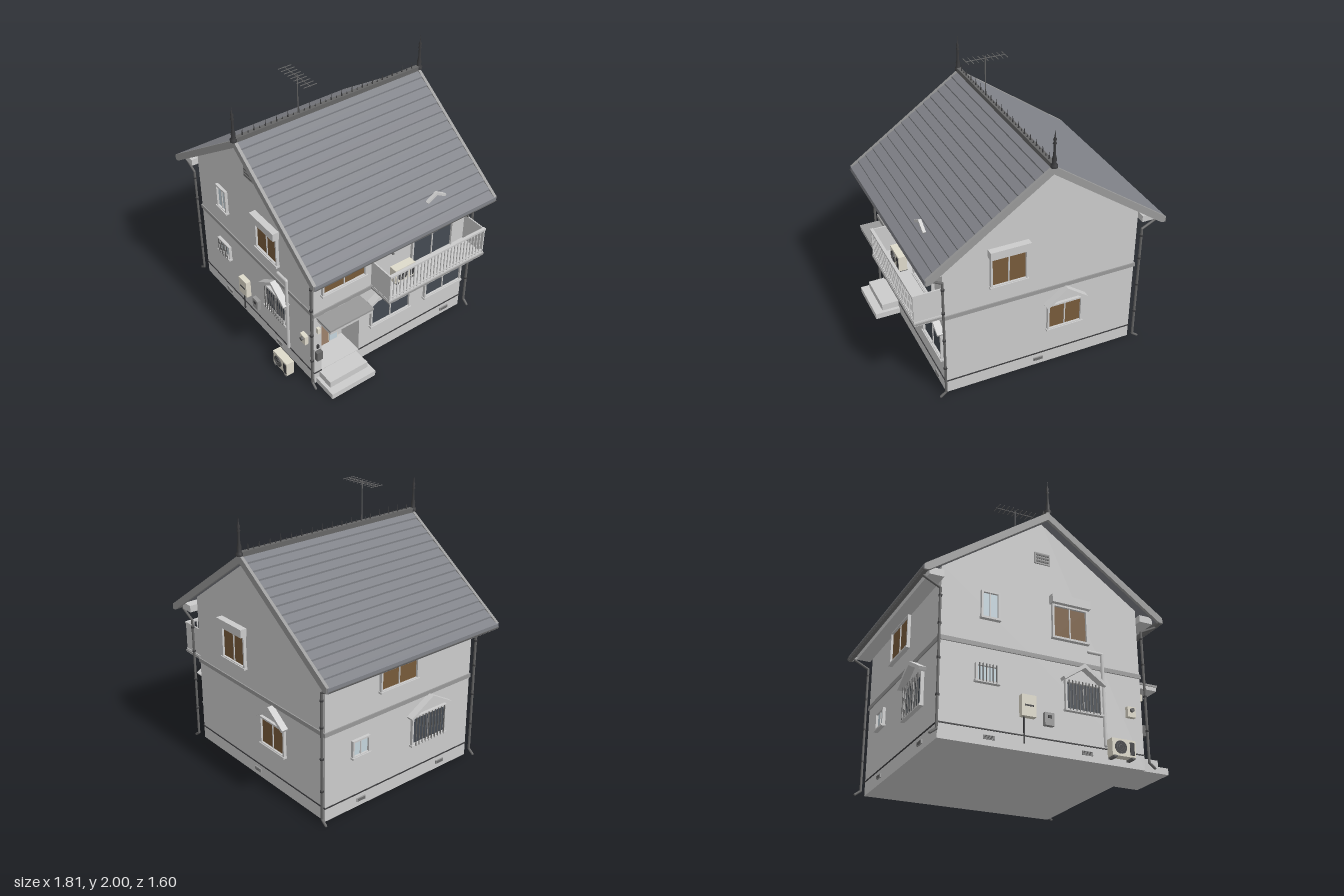
import * as THREE from 'three';

const mat = (color, side = THREE.FrontSide) => new THREE.MeshStandardMaterial({ color, side });
const M = {
  wall: mat(0xcccccc), grey: mat(0x999999), roof: mat(0x808288), dark: mat(0x3c3c3e), metal: mat(0x666666),
  curtain: mat(0x775a3a), glass: mat(0x444a52), pale: mat(0xc4d4dc), cream: mat(0xdedacb),
  door: mat(0x9c816b), gutter: mat(0x707070, THREE.DoubleSide),
};
const RX = -0.02, SLOPE = 0.7, HALF = 0.875;        // ridge x, pitch, half roof width
const roofY = x => 1.69 - SLOPE * Math.abs(x - RX);

function add(parent, name, geo, m, x = 0, y = 0, z = 0) {
  const mesh = new THREE.Mesh(geo, m);
  mesh.name = name;
  mesh.position.set(x, y, z);
  parent.add(mesh);
  return mesh;
}
// box given by its minimum and maximum corners
const box = (p, name, m, x0, x1, y0, y1, z0, z1) =>
  add(p, name, new THREE.BoxGeometry(x1 - x0, y1 - y0, z1 - z0), m, (x0 + x1) / 2, (y0 + y1) / 2, (z0 + z1) / 2);
const poly = pts => new THREE.Shape(pts.map(([x, y]) => new THREE.Vector2(x, y)));
const extrude = (p, name, m, shape, z0, z1) =>
  add(p, name, new THREE.ExtrudeGeometry(shape, { depth: z1 - z0, bevelEnabled: false }), m, 0, 0, z0);
function pipe(p, name, m, pts, r, sides = 8) {
  const path = new THREE.CurvePath();
  const v = pts.map(a => new THREE.Vector3(...a));
  for (let i = 1; i < v.length; i++) path.add(new THREE.LineCurve3(v[i - 1], v[i]));
  path.curves.forEach(c => add(p, name, new THREE.TubeGeometry(c, 1, r, sides, false), m));
  v.forEach(q => add(p, name + 'Joint', new THREE.SphereGeometry(r, sides, 6), m, q.x, q.y, q.z));
}
function group(parent, name, x = 0, y = 0, z = 0, ry = 0) {
  const g = new THREE.Group();
  g.name = name;
  g.position.set(x, y, z);
  g.rotation.y = ry;
  parent.add(g);
  return g;
}

// chevron hood over a window
function hood(p, u, y, half, rise, depth, t = 0.03) {
  extrude(p, 'windowHood', M.wall, poly([[u - half, y], [u, y + rise], [u + half, y],
    [u + half - 0.01, y - t * 0.6], [u, y + rise - t], [u - half + 0.01, y - t * 0.6]]), 0, depth);
}
// framed window on a wall group; local z points outwards
function addWindow(wall, u0, u1, y0, y1, glass, { bars = 0, shutter = false, hooded = false } = {}) {
  const g = group(wall, 'window'), t = 0.013, u = (u0 + u1) / 2;
  const s = poly([[u0, y0], [u1, y0], [u1, y1], [u0, y1]]);
  s.holes.push(poly([[u0 + t, y0 + t], [u0 + t, y1 - t], [u1 - t, y1 - t], [u1 - t, y0 + t]]));
  extrude(g, 'windowFrame', M.wall, s, 0, 0.022);
  box(g, 'windowGlass', glass, u0 + t, u1 - t, y0 + t, y1 - t, 0, 0.006);
  box(g, 'windowMullion', M.wall, u - 0.004, u + 0.004, y0 + t, y1 - t, 0, 0.013);
  box(g, 'windowSill', M.wall, u0 - 0.006, u1 + 0.006, y0 - 0.006, y0 + 0.008, 0, 0.03);
  for (let i = 1; i <= bars; i++) {
    const b = u0 + (u1 - u0) * i / (bars + 1);
    box(g, 'windowBar', M.metal, b - 0.003, b + 0.003, y0, y1, 0.026, 0.032);
  }
  if (shutter) box(g, 'shutterBox', M.wall, u0 - 0.012, u1 + 0.01, y1, y1 + 0.06, 0, 0.05);
  if (hooded) hood(g, u, 0.53, 0.16 + (u1 - u0 > 0.3 ? 0.042 : 0), 0.115, 0.05);
}
function vent(wall, u, y, w, h) {
  box(wall, 'ventPlate', M.grey, u - w / 2, u + w / 2, y - h / 2, y + h / 2, 0, 0.008);
  for (let i = 0; i < 3; i++) {
    const v = y + (i - 1) * h * 0.28;
    box(wall, 'ventSlat', M.metal, u - w * 0.42, u + w * 0.42, v - h * 0.07, v + h * 0.07, 0, 0.012);
  }
}
// outdoor air conditioner, fan facing local z
function airConditioner(parent, x, y, z, ry) {
  const g = group(parent, 'airConditioner', x, y, z, ry);
  box(g, 'unitCase', M.cream, -0.085, 0.085, 0.012, 0.125, -0.03, 0.03);
  for (const s of [-0.065, 0.065]) box(g, 'unitFoot', M.metal, s - 0.012, s + 0.012, 0, 0.012, -0.035, 0.035);
  add(g, 'fan', new THREE.CylinderGeometry(0.042, 0.042, 0.006, 24).rotateX(Math.PI / 2), M.dark, -0.025, 0.068, 0.031);
  for (const r of [0.015, 0.029, 0.042])
    add(g, 'fanGuard', new THREE.TorusGeometry(r, 0.0018, 5, 24), M.metal, -0.025, 0.068, 0.035);
  box(g, 'unitGrille', M.dark, 0.043, 0.075, 0.025, 0.11, 0.03, 0.033);
}

export function createModel() {
  const house = new THREE.Group();
  house.name = 'house';
  const X0 = -0.74, X1 = 0.70, Z0 = -0.67, Z1 = 0.66, PZ0 = 0.28, PZ1 = 0.60, PX = 0.5;

  // walls, with the entrance recess notched out of the middle slice
  const top = [[X1, roofY(X1) - 0.025], [RX, roofY(RX) - 0.025], [X0, roofY(X0) - 0.025], [X0, 0]];
  const full = poly([[X1, 0], ...top]);
  const notched = poly([[X1, 0], [X1, 0.1], [PX, 0.1], [PX, 0.6], [X1, 0.6], ...top]);
  extrude(house, 'wallsRear', M.wall, full, Z0, PZ0);
  extrude(house, 'wallsEntrance', M.wall, notched, PZ0, PZ1);
  extrude(house, 'wallsFront', M.wall, full, PZ1, Z1);

  // wall frames: local x runs rightwards seen from outside
  const front = group(house, 'frontWall', 0, 0, Z1, 0);
  const right = group(house, 'leftHandWall', X1, 0, 0, Math.PI / 2);
  const back = group(house, 'backWall', 0, 0, Z0, Math.PI);
  const left = group(house, 'rightHandWall', X0, 0, 0, -Math.PI / 2);

  // belt course and drip line
  [[front, X0, X1], [back, -X1, -X0], [left, Z0, Z1], [right, -Z1, -Z0]].forEach(([w, a, b]) => {
    box(w, 'beltCourse', M.grey, a - 0.008, b + 0.008, 0.637, 0.667, 0, 0.008);
    if (w !== right) box(w, 'dripLine', M.dark, a - 0.004, b + 0.004, 0.097, 0.105, 0, 0.005);
  });
  box(right, 'dripLine', M.dark, -PZ0, -Z0 + 0.004, 0.097, 0.105, 0, 0.005);
  box(right, 'dripLine', M.dark, -Z1 - 0.004, -PZ1, 0.097, 0.105, 0, 0.005);

  // windows
  addWindow(front, -0.47, -0.34, 0.84, 1.035, M.pale);
  addWindow(front, 0.04, 0.305, 0.805, 1.05, M.curtain, { shutter: true });
  addWindow(front, -0.505, -0.345, 0.40, 0.52, M.pale, { bars: 6 });
  addWindow(front, 0.12, 0.39, 0.315, 0.52, M.glass, { bars: 10, hooded: true });
  addWindow(right, -0.60, -0.24, 0.805, 1.06, M.curtain);
  addWindow(right, 0.155, 0.525, 0.675, 1.06, M.glass);
  addWindow(right, -0.19, 0.165, 0.28, 0.515, M.glass, { hooded: true });
  addWindow(right, 0.30, 0.65, 0.28, 0.515, M.glass, { hooded: true });
  addWindow(back, -0.37, -0.10, 0.805, 1.05, M.curtain, { shutter: true });
  addWindow(back, 0.06, 0.33, 0.30, 0.515, M.curtain, { hooded: true });
  addWindow(left, -0.21, 0.13, 0.805, 1.05, M.curtain);
  addWindow(left, -0.45, -0.30, 0.40, 0.53, M.pale);
  addWindow(left, 0.09, 0.42, 0.29, 0.515, M.glass, { hooded: true, bars: 10 });

  // vents
  vent(front, -0.022, 1.378, 0.115, 0.085);
  [[front, -0.405], [front, 0.275], [right, 0.52], [back, 0], [left, -0.36], [left, 0.39]]
    .forEach(([w, u]) => vent(w, u, 0.052, 0.075, 0.026));

  // tiled roof: stepped courses on both slopes
  const N = 15, dx = HALF / N, slope = [];
  for (let i = 0; i < N; i++) {
    const a = RX - HALF + i * dx;
    slope.push([a, roofY(a)], [a + dx, roofY(a + dx) - 0.012]);
  }
  const mirror = ([x, y]) => [2 * RX - x, y], eave = [RX - HALF, roofY(RX - HALF) - 0.037];
  extrude(house, 'roof', M.roof,
    poly([...slope, ...slope.slice(0, -1).reverse().map(mirror), mirror(eave), [RX, 1.653], eave]), -0.775, 0.755);
  for (const s of [-1, 1]) {
    const e = RX + s * HALF * 0.995, yE = roofY(e);
    for (const [z0, z1] of [[0.74, 0.762], [-0.782, -0.76]])
      extrude(house, 'bargeBoard', M.grey, poly([[RX, 1.69], [e, yE], [e, yE - 0.04], [e - s * 0.03, yE - 0.038], [RX, 1.633]]), z0, z1);
    const xw = s < 0 ? X0 : X1, xo = RX + s * 0.82;
    box(house, 'soffit', M.wall, Math.min(xw, xo), Math.max(xw, xo), 1.045, 1.095, -0.73, 0.71);
    add(house, 'gutter', new THREE.CylinderGeometry(0.022, 0.022, 1.53, 10, 1, true, -Math.PI / 2, Math.PI).rotateX(Math.PI / 2),
      M.gutter, RX + s * 0.86, 1.058, -0.01);
    // downpipes with brackets
    for (const z of [0.69, -0.71]) {
      const x = xw + s * 0.016;
      pipe(house, 'downpipe', M.metal, [[RX + s * 0.86, 1.045, z], [RX + s * 0.845, 1.03, z], [x, 0.975, z],
        [x, 0.045, z], [x + s * 0.04, 0.015, z]], 0.009);
      for (const y of [0.26, 0.5, 0.73, 0.92])
        add(house, 'pipeBracket', new THREE.CylinderGeometry(0.013, 0.013, 0.012, 8), M.dark, x, y, z);
    }
  }

  // ridge cap, cresting and finials
  box(house, 'ridgeCap', M.metal, RX - 0.016, RX + 0.016, 1.675, 1.708, -0.78, 0.76);
  for (let i = 0; i < 33; i++) {
    const h = i % 2 ? 0.022 : 0.055;
    add(house, 'crestSpike', new THREE.ConeGeometry(0.006, h, 6), M.dark, RX, 1.706 + h / 2, 0.69 - i * 0.0437);
  }
  const prof = [[0.024, 0], [0.024, 0.02], [0.014, 0.03], [0.016, 0.06], [0.009, 0.09], [0.008, 0.16], [0.014, 0.168],
    [0.007, 0.178], [0.012, 0.198], [0.005, 0.212], [0, 0.268]].map(p => new THREE.Vector2(...p));
  for (const z of [0.757, -0.777]) add(house, 'finial', new THREE.LatheGeometry(prof, 10), M.dark, RX, 1.682, z);

  // antenna
  const aerial = group(house, 'antenna', RX, 0, 0.26);
  pipe(aerial, 'antennaMast', M.metal, [[0, 1.67, 0], [0, 1.997, 0]], 0.004, 6);
  pipe(aerial, 'antennaBoom', M.metal, [[-0.15, 1.982, 0], [0.147, 1.982, 0]], 0.003, 6);
  for (let i = 0; i < 9; i++) {
    const x = -0.145 + i * 0.036;
    box(aerial, 'antennaElement', M.metal, x - 0.002, x + 0.002, 1.981, 1.985, -0.052, 0.052);
  }
  // small gabled roof vent
  hood(group(house, 'roofVent', 0.705, 0, -0.34, Math.PI / 2), 0, 1.185, 0.083, 0.052, 0.022, 0.022);

  // entrance: steps, door, sidelight, canopy
  box(house, 'lowerStep', M.wall, X1, 0.89, 0, 0.045, 0.275, 0.645);
  box(house, 'upperStep', M.wall, X1, 0.83, 0.045, 0.097, 0.30, 0.62);
  const porch = group(house, 'entrance', PX, 0, 0, Math.PI / 2);
  box(porch, 'doorFrame', M.cream, -0.595, -0.325, 0.1, 0.585, 0, 0.012);
  box(porch, 'door', M.door, -0.583, -0.41, 0.105, 0.535, 0, 0.022);
  box(porch, 'doorPane', M.pale, -0.548, -0.522, 0.17, 0.49, 0, 0.025);
  box(porch, 'sidelight', M.pale, -0.40, -0.333, 0.105, 0.535, 0, 0.018);
  box(porch, 'doorHandle', M.dark, -0.422, -0.414, 0.27, 0.34, 0.022, 0.036);
  box(house, 'canopy', M.wall, X1 - 0.02, 0.85, 0.585, 0.622, 0.285, 0.632);
  box(house, 'canopyEdge', M.grey, X1, 0.856, 0.612, 0.626, 0.278, 0.638);
  box(right, 'porchLamp', M.cream, -0.643, -0.622, 0.49, 0.535, 0, 0.025);
  box(right, 'intercom', M.dark, -0.642, -0.626, 0.34, 0.37, 0, 0.012);
  box(right, 'mailbox', M.metal, -0.655, -0.61, 0.24, 0.315, 0, 0.03);

  // balcony: slab, solid ends, barred side, rail
  const bal = group(house, 'balcony');
  box(bal, 'balconyFloor', M.wall, X1, 0.90, 0.642, 0.675, -0.66, 0.187);
  box(bal, 'balconyTrim', M.grey, X1, 0.905, 0.65, 0.663, -0.665, 0.192);
  for (const z of [-0.655, 0.175]) box(bal, 'balconyEnd', M.wall, X1, 0.90, 0.675, 0.885, z, z + 0.01);
  box(bal, 'balconyRail', M.wall, 0.883, 0.905, 0.873, 0.888, -0.658, 0.187);
  box(bal, 'balconyLowerRail', M.wall, 0.887, 0.9, 0.69, 0.698, -0.655, 0.185);
  for (let i = 0; i <= 28; i++) {
    const z = -0.65 + i * 0.0296;
    box(bal, 'baluster', M.wall, 0.89, 0.897, 0.675, 0.875, z - 0.0035, z + 0.0035);
  }
  pipe(bal, 'clothesRail', M.metal, [[0.80, 0.997, 0.16], [0.80, 0.997, -0.62]], 0.005, 6);
  for (const z of [0.10, -0.56]) box(bal, 'railBracket', M.metal, X1, 0.82, 0.983, 0.992, z - 0.006, z + 0.006);
  airConditioner(bal, 0.775, 0.675, -0.025, Math.PI / 2);

  // front wall fittings
  airConditioner(house, 0.465, 0.01, 0.76, 0);
  pipe(front, 'coolantDuct', M.wall, [[0.405, 0.12, 0.015], [0.405, 0.752, 0.015], [0.305, 0.752, 0.015]], 0.012);
  box(front, 'meterBox', M.cream, -0.20, -0.10, 0.218, 0.36, 0, 0.04);
  box(front, 'meterLabel', M.dark, -0.18, -0.12, 0.284, 0.294, 0.04, 0.043);
  pipe(front, 'meterConduit', M.dark, [[-0.175, 0.22, 0.015], [-0.175, 0.05, 0.015]], 0.006);
  box(front, 'gasMeter', M.grey, -0.036, 0.03, 0.185, 0.27, 0, 0.03);
  box(front, 'gasMeterDial', M.dark, -0.015, 0.01, 0.233, 0.252, 0.03, 0.034);
  box(front, 'heaterBox', M.cream, 0.575, 0.635, 0.34, 0.412, 0, 0.03);
  add(front, 'heaterFlue', new THREE.CylinderGeometry(0.014, 0.014, 0.02, 16).rotateX(Math.PI / 2), M.metal, 0.605, 0.386, 0.035);

  return house;
}
